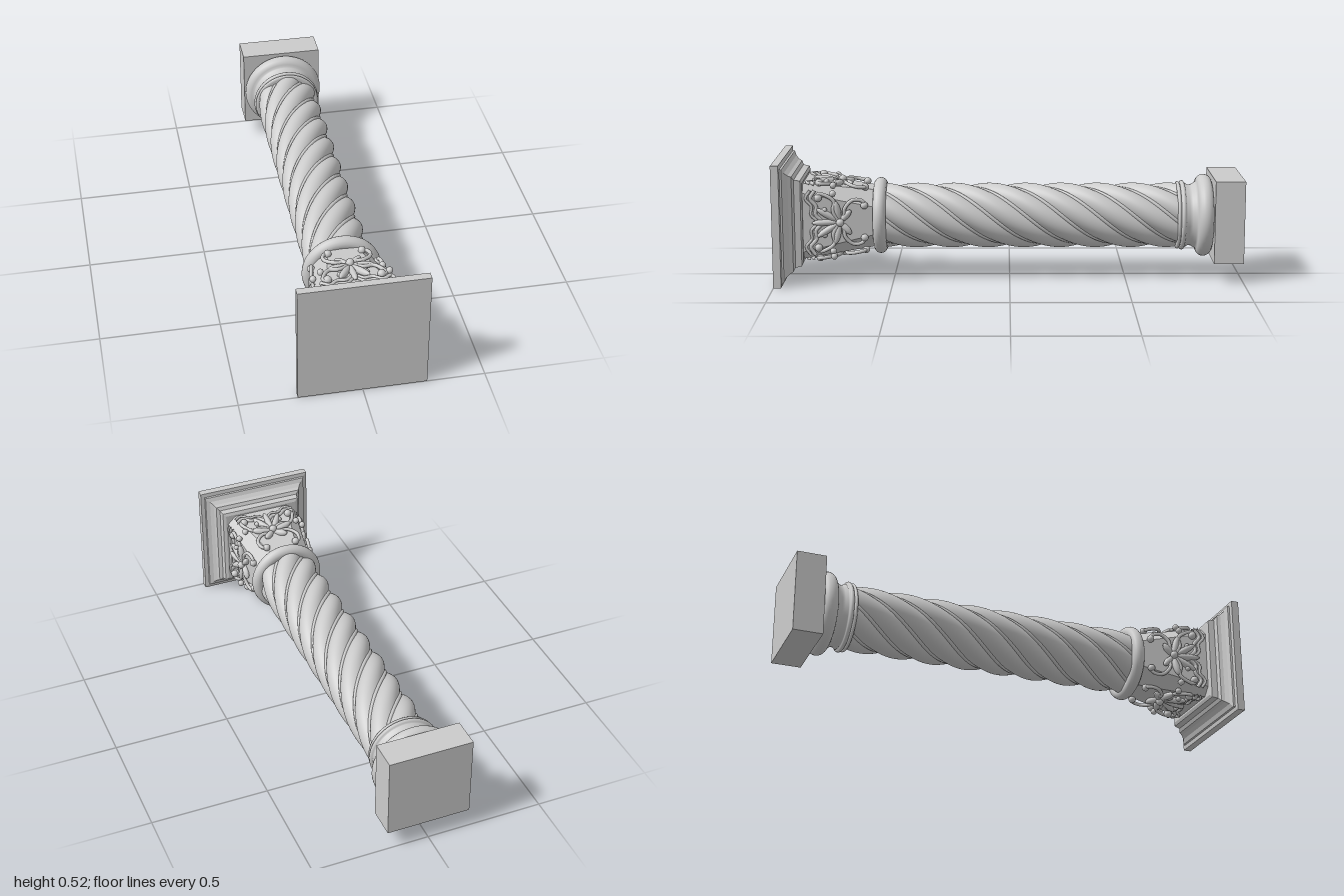
import * as THREE from 'three';

const mat = new THREE.MeshStandardMaterial({ color: 0xcccccc });
const matDouble = new THREE.MeshStandardMaterial({ color: 0xcccccc, side: THREE.DoubleSide });

function add(parent, name, geometry, material = mat) {
  const mesh = new THREE.Mesh(geometry, material);
  mesh.name = name;
  parent.add(mesh);
  return mesh;
}

// Skin of closed cross-sections: point(i, j) gives a position, i around, j upward
function loft(around, rows, point) {
  const pos = [], index = [];
  for (let j = 0; j <= rows; j++)
    for (let i = 0; i < around; i++) pos.push(...point(i, j));
  for (let j = 0; j < rows; j++)
    for (let i = 0; i < around; i++) {
      const a = j * around + i, b = j * around + (i + 1) % around;
      index.push(a, b, a + around, b, b + around, a + around);
    }
  const g = new THREE.BufferGeometry();
  g.setAttribute('position', new THREE.Float32BufferAttribute(pos, 3));
  g.setIndex(index);
  g.computeVertexNormals();
  return g;
}

function flat(g) {
  const f = g.toNonIndexed();
  f.computeVertexNormals();
  return f;
}

// Bulging half-round of a turned profile, from y0 to y1
function bulge(r, depth, y0, y1, n = 10) {
  return Array.from({ length: n + 1 }, (_, i) => {
    const a = Math.PI * (i / n - 0.5);
    return new THREE.Vector2(r + depth * Math.cos(a), (y0 + y1) / 2 + (y1 - y0) / 2 * Math.sin(a));
  });
}

const tube = (pts, r, n = 24) => new THREE.TubeGeometry(
  new THREE.CatmullRomCurve3(pts.map(p => new THREE.Vector3(...p))), n, r, 8);

// Twisted shaft: six round strands with a thin cord in every groove
const STRANDS = 6, PITCH = 0.93, Y0 = -0.74, Y1 = 0.57;
const twist = y => Math.PI / 2 + (y - 0.37) / PITCH * Math.PI * 2;
const polar = (r, a, y) => [r * Math.cos(a), y, -r * Math.sin(a)];

function buildShaft(parent) {
  const d = 0.08, R = 0.06, per = 16, rows = 130;
  add(parent, 'twistedShaft', loft(STRANDS * per, rows, (i, j) => {
    const y = Y0 + (Y1 - Y0) * j / rows;
    const a = ((i % per) / per - 0.5) * Math.PI / 3;
    const r = d * Math.cos(a) + Math.sqrt(R * R - (d * Math.sin(a)) ** 2);
    return polar(r, twist(y) + Math.floor(i / per) * Math.PI / 3 + a, y);
  }));
  for (let k = 0; k < STRANDS; k++) {
    const pts = Array.from({ length: 40 }, (_, i) => {
      const y = Y0 + (Y1 - Y0) * i / 39;
      return polar(0.117, twist(y) + (k + 0.5) * Math.PI / 3, y);
    });
    add(parent, 'grooveCord', tube(pts, 0.0085, 110));
  }
}

// Carved leaf: an ellipsoid narrowed to a point, rooted at (x, y) and leaning by angle
function leaf(parent, x, y, angle, length, width, height = 0.016) {
  const g = new THREE.SphereGeometry(1, 14, 12);
  const p = g.attributes.position;
  for (let i = 0; i < p.count; i++) {
    const t = (p.getY(i) + 1) / 2;
    const k = 0.55 + 0.6 * t * (1.5 - t);
    p.setXYZ(i, p.getX(i) * width / 2 * k, t * length, p.getZ(i) * height + 0.008 * t * t);
  }
  g.computeVertexNormals();
  const m = add(parent, 'leaf', g);
  m.position.set(x, y, 0.004);
  m.rotation.z = angle;
}

function bead(parent, x, y, r, z = 0.008) {
  add(parent, 'bead', new THREE.SphereGeometry(r, 14, 10)).position.set(x, y, z);
}

// Relief on one face of the capital
function buildOrnament(parent) {
  leaf(parent, 0, 0.14, 0, 0.12, 0.032);
  bead(parent, 0, 0.14, 0.017, 0.018);
  for (const s of [-1, 1]) {
    leaf(parent, 0, 0.14, s * 0.55, 0.115, 0.034);
    leaf(parent, 0, 0.14, s * 1.35, 0.095, 0.036);
    leaf(parent, 0, 0.14, s * 2.3, 0.07, 0.034);
    // Scrolled stems ending in beads
    add(parent, 'scroll', tube([[s * 0.012, 0.15, 0.01], [s * 0.05, 0.17, 0.012], [s * 0.09, 0.165, 0.01],
      [s * 0.115, 0.195, 0.01], [s * 0.125, 0.23, 0.008], [s * 0.105, 0.24, 0.008]], 0.008));
    add(parent, 'scroll', tube([[s * 0.015, 0.12, 0.01], [s * 0.06, 0.12, 0.014], [s * 0.095, 0.085, 0.01],
      [s * 0.09, 0.045, 0.008], [s * 0.065, 0.03, 0.008]], 0.008));
    bead(parent, s * 0.108, 0.232, 0.017);
    bead(parent, s * 0.07, 0.036, 0.016);
    bead(parent, s * 0.125, 0.17, 0.014);
    bead(parent, s * 0.055, 0.205, 0.011);
  }
  // Bracket-shaped borders
  for (const [dy, r] of [[0, 0.008], [0.02, 0.006]]) {
    const half = [[0.14, 0.245], [0.105, 0.265], [0.07, 0.24], [0.035, 0.243]];
    const pts = [...half.map(([x, y]) => [-x, y + dy, 0.004]), [0, 0.215 + dy, 0.004],
      ...half.reverse().map(([x, y]) => [x, y + dy, 0.004])];
    add(parent, 'bracketBorder', tube(pts, r, 40));
  }
}

function buildCapital(parent) {
  // Flaring square core with chamfered corners
  const y0 = 0.57, y1 = 0.89;
  add(parent, 'capitalCore', flat(loft(8, 6, (i, j) => {
    const t = j / 6, w = 0.123 + 0.042 * t, c = w - (0.065 - 0.03 * t);
    const q = Math.floor(i / 2) * Math.PI / 2;
    const [x, z] = i % 2 ? [c, w] : [w, c];
    return [x * Math.cos(q) - z * Math.sin(q), y0 + (y1 - y0) * t, -(x * Math.sin(q) + z * Math.cos(q))];
  })), matDouble);
  for (let k = 0; k < 4; k++) {
    const side = new THREE.Group();
    side.name = 'capitalFace';
    side.rotation.y = k * Math.PI / 2;
    const relief = new THREE.Group();
    relief.name = 'faceOrnament';
    relief.position.set(0, 0.585, 0.125);
    relief.rotation.x = Math.atan(0.042 / 0.32);
    buildOrnament(relief);
    side.add(relief);
    parent.add(side);
  }
  // Square moulded slab
  const profile = [[0, 0.88], [0.172, 0.88], [0.185, 0.886], [0.19, 0.912], [0.205, 0.92], [0.212, 0.934],
    [0.225, 0.948], [0.243, 0.956], [0.245, 0.964], [0.2625, 0.967], [0.2625, 1], [0, 1]];
  add(parent, 'abacus', flat(new THREE.LatheGeometry(
    profile.map(([r, y]) => new THREE.Vector2(r * Math.SQRT2, y)), 4, Math.PI / 4)));
}

export function createModel() {
  const column = new THREE.Group();
  column.name = 'column';

  // Foot: square plinth and turned rings
  add(column, 'plinth', new THREE.BoxGeometry(0.357, 0.127, 0.357)).position.y = -0.9365;
  const rings = [
    new THREE.Vector2(0, -0.873), ...bulge(0.145, 0.033, -0.873, -0.806),
    new THREE.Vector2(0.142, -0.8), new THREE.Vector2(0.133, -0.785), new THREE.Vector2(0.132, -0.772),
    new THREE.Vector2(0.14, -0.76), ...bulge(0.137, 0.014, -0.757, -0.736, 6),
    ...bulge(0.135, 0.012, -0.736, -0.72, 6), new THREE.Vector2(0, -0.72),
  ];
  add(column, 'baseRings', new THREE.LatheGeometry(rings, 64));

  buildShaft(column);

  // Collar between shaft and capital
  const collar = add(column, 'collar', new THREE.TorusGeometry(0.137, 0.028, 16, 64));
  collar.rotation.x = Math.PI / 2;
  collar.position.y = 0.558;

  buildCapital(column);

  // Lay the column down with its capital to the front
  column.rotation.x = Math.PI / 2;
  column.position.y = 0.2625;
  const model = new THREE.Group();
  model.name = 'twistedColumn';
  model.add(column);
  return model;
}
